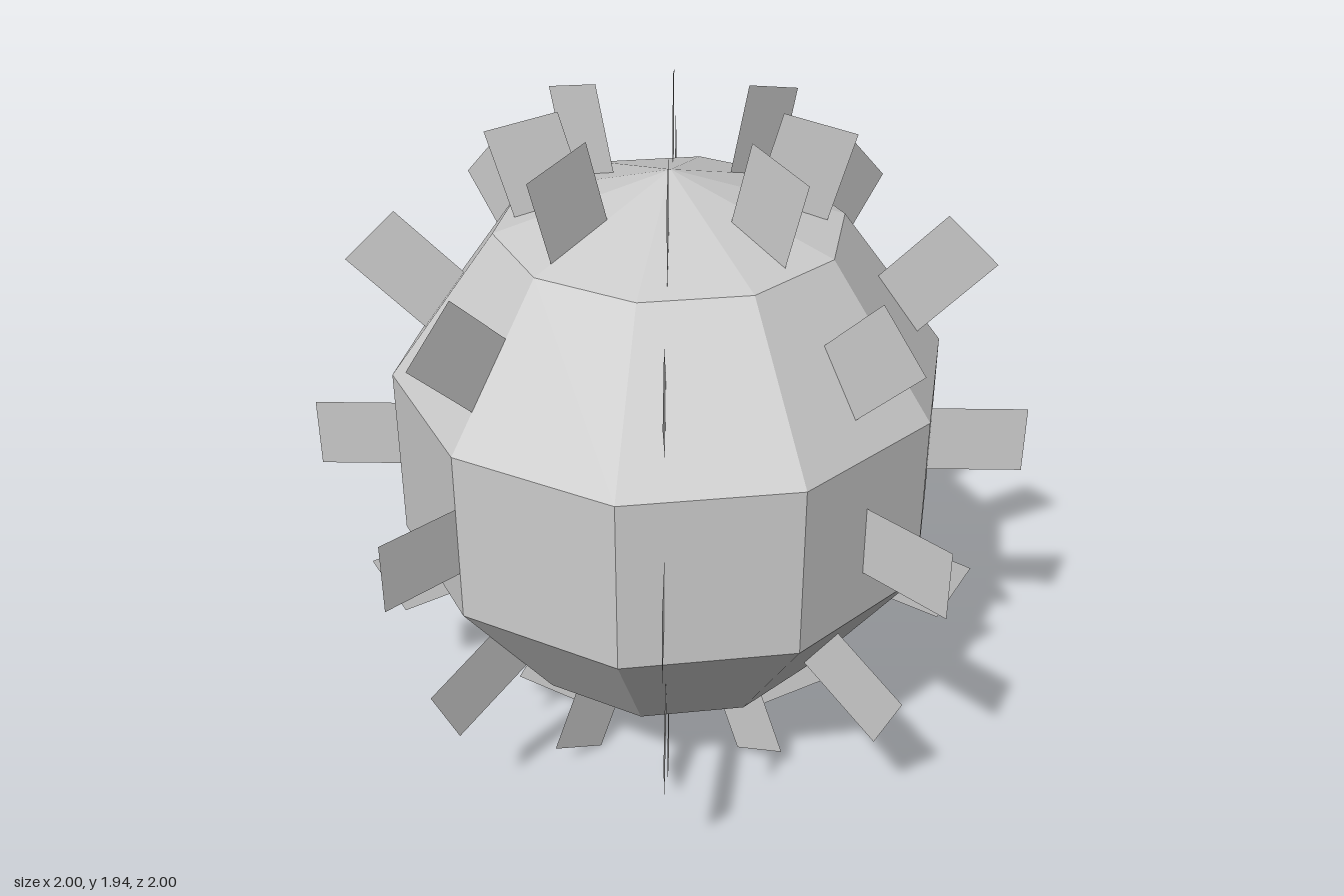
import * as THREE from 'three';

const CENTER_Y = 0.99;
const FIN_WIDTH = 0.2;
const FIN_LENGTH = 0.4;
const FIN_COUNT = 8;

// Each ring of fins: outer-end radius and height, and upward tilt in degrees
const RINGS = [
  { name: 'topFin', r: 0.385, y: 1.917, tilt: 74 },
  { name: 'upperFin', r: 0.803, y: 1.595, tilt: 45 },
  { name: 'middleFin', r: 1.0, y: 0.98, tilt: 0 },
  { name: 'lowerFin', r: 0.845, y: 0.443, tilt: -25 },
  { name: 'bottomFin', r: 0.38, y: 0.055, tilt: -62 },
];

export function createModel() {
  const model = new THREE.Group();
  model.name = 'spikedBall';

  const bodyMaterial = new THREE.MeshStandardMaterial({ color: 0xcccccc, flatShading: true });
  const finMaterial = new THREE.MeshStandardMaterial({
    color: 0xcccccc, flatShading: true, side: THREE.DoubleSide,
  });

  // Faceted ball with corners on the z axis
  const body = new THREE.Mesh(new THREE.SphereGeometry(0.8, 10, 5), bodyMaterial);
  body.name = 'body';
  body.rotation.y = Math.PI / 2;
  body.position.y = CENTER_Y;
  model.add(body);

  // Flat fin whose outer end sits at the origin, reaching inward along -x
  const finGeometry = new THREE.PlaneGeometry(FIN_LENGTH, FIN_WIDTH);
  finGeometry.translate(-FIN_LENGTH / 2, 0, 0);

  // Upright fins in rings around the ball
  for (const ring of RINGS) {
    const fins = new THREE.Group();
    fins.name = ring.name + 'Ring';
    for (let i = 0; i < FIN_COUNT; i++) {
      const arm = new THREE.Group();
      arm.rotation.y = (i / FIN_COUNT) * Math.PI * 2;
      const fin = new THREE.Mesh(finGeometry, finMaterial);
      fin.name = ring.name;
      fin.position.set(ring.r, ring.y, 0);
      fin.rotation.z = THREE.MathUtils.degToRad(ring.tilt);
      arm.add(fin);
      fins.add(arm);
    }
    model.add(fins);
  }
  return model;
}
